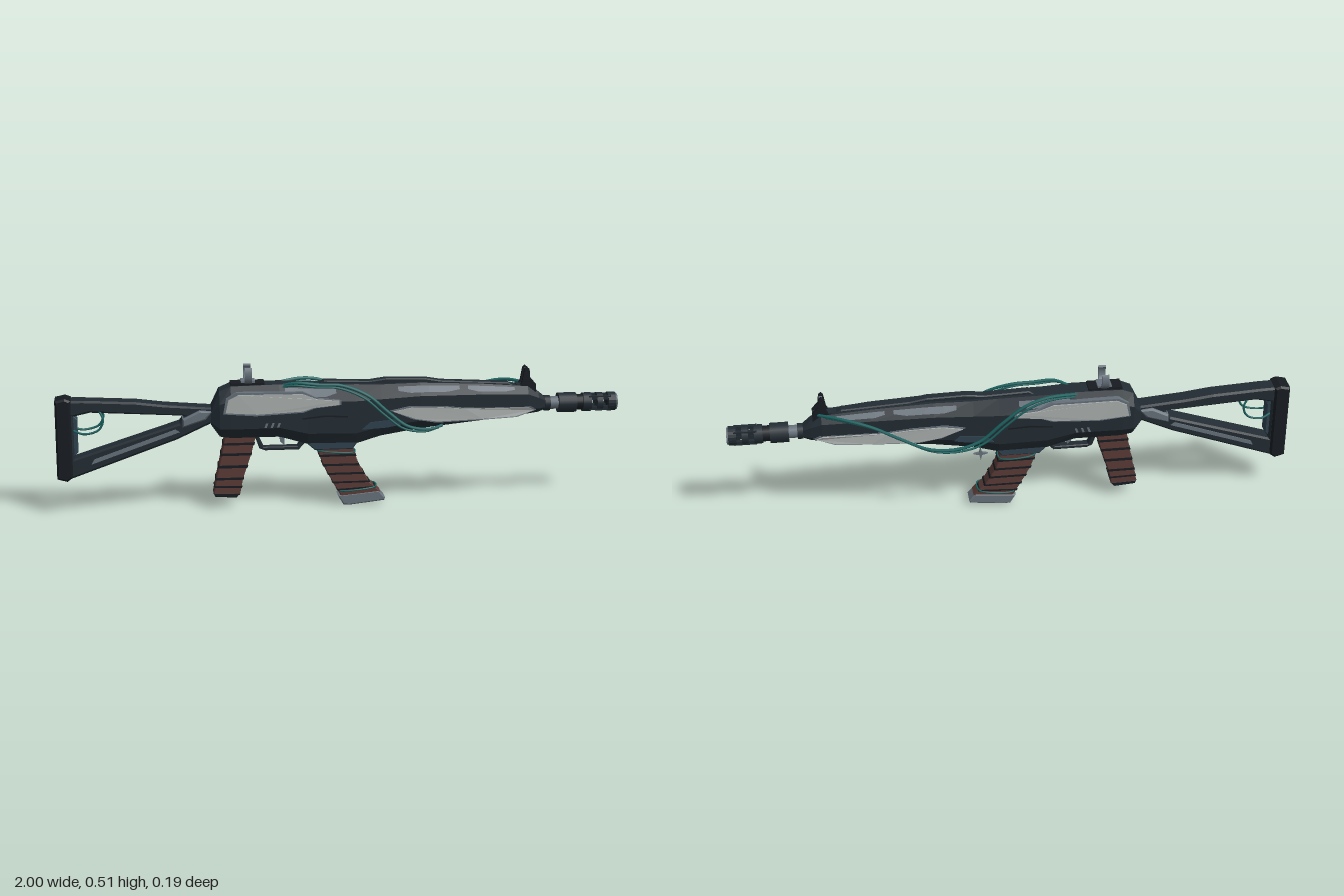
import * as THREE from 'three';

const mat = (name, color) => {
  const m = new THREE.MeshStandardMaterial({ color });
  m.name = name;
  return m;
};

export function createModel() {
  const root = new THREE.Group();
  const model = new THREE.Group();
  model.position.z = 0.011;
  root.add(model);

  const dark = mat('gunmetal', 0x222c33);
  const black = mat('black', 0x171c21);
  const blue = mat('blue steel', 0x2e414e);
  const grey = mat('grey metal', 0x66707a);
  const pale = mat('pale plate', 0xa9aeac);
  const brown = mat('brown wrap', 0x5c3b37);
  const teal = mat('teal cable', 0x1c6462);

  const add = (name, geo, material, x = 0, y = 0, z = 0) => {
    const mesh = new THREE.Mesh(geo, material);
    mesh.name = name;
    mesh.position.set(x, y, z);
    model.add(mesh);
    return mesh;
  };
  const shapeOf = (pts) => new THREE.Shape(pts.map(([x, y]) => new THREE.Vector2(x, y)));

  // side profile extruded across z, with a chamfer kept inside the half width
  const slab = (name, pts, half, material, bevel = 0, hole = null, z = 0) => {
    const shape = shapeOf(pts);
    if (hole) shape.holes.push(shapeOf(hole));
    const geo = new THREE.ExtrudeGeometry(shape, {
      depth: 2 * (half - bevel), bevelEnabled: bevel > 0, bevelThickness: bevel,
      bevelSize: bevel, bevelOffset: -bevel, bevelSegments: 1,
    });
    geo.translate(0, 0, bevel - half);
    return add(name, geo, material, 0, 0, z);
  };

  // flat-faced skin through rings of points
  const loft = (rings, closed = true) => {
    const v = [];
    const tri = (...p) => p.forEach((q) => v.push(...q));
    const n = rings[0].length;
    for (let i = 0; i + 1 < rings.length; i++) {
      for (let j = 0; j < (closed ? n : n - 1); j++) {
        const k = (j + 1) % n;
        const [a, b] = [rings[i], rings[i + 1]];
        tri(a[j], b[j], b[k]);
        tri(a[j], b[k], a[k]);
      }
    }
    if (closed) {
      const last = rings[rings.length - 1];
      for (let j = 1; j + 1 < n; j++) {
        tri(rings[0][0], rings[0][j], rings[0][j + 1]);
        tri(last[0], last[j + 1], last[j]);
      }
    }
    const geo = new THREE.BufferGeometry();
    geo.setAttribute('position', new THREE.Float32BufferAttribute(v, 3));
    geo.computeVertexNormals();
    return geo;
  };

  // body stations: x, bottom, top, half width
  const stations = [
    [-0.46, 0.31, 0.37, 0.045], [-0.43, 0.268, 0.43, 0.06], [-0.39, 0.262, 0.447, 0.063],
    [-0.22, 0.262, 0.45, 0.062], [-0.12, 0.232, 0.445, 0.058], [0.05, 0.228, 0.443, 0.056],
    [0.14, 0.255, 0.44, 0.056], [0.28, 0.278, 0.443, 0.058], [0.5, 0.3, 0.433, 0.052],
    [0.67, 0.318, 0.418, 0.042], [0.71, 0.322, 0.395, 0.032], [0.745, 0.333, 0.367, 0.02],
  ];
  const bodyAt = (x) => {
    let i = 0;
    while (i < stations.length - 2 && x > stations[i + 1][0]) i++;
    const [a, b] = [stations[i], stations[i + 1]];
    const t = (x - a[0]) / (b[0] - a[0]);
    return a.map((n, k) => n + (b[k] - n) * t);
  };
  const ringAt = ([x, lo, hi, w]) => {
    const y = (f) => lo + (hi - lo) * f;
    const half = [[w * 0.6, y(0)], [w, y(0.2)], [w, y(0.74)], [w * 0.55, y(1)]];
    return [...half, ...half.slice().reverse().map(([z, h]) => [-z, h])].map(([z, h]) => [x, h, z]);
  };
  add('body', loft(stations.map(ringAt)), dark);

  // grey strips lying on the upper bevel of the body
  for (const s of [1, -1]) {
    for (const [x0, x1] of [[0.2, 0.42], [0.45, 0.62], [-0.2, -0.02]]) {
      const rings = [0, 0.2, 0.5, 0.8, 1].map((t, i) => {
        const ring = ringAt(bodyAt(x0 + (x1 - x0) * t));
        const end = i === 0 || i === 4 ? 0.45 : 0.25;
        const pts = [end, 0.75].map((f) =>
          ring[2].map((n, k) => n + (ring[3][k] - n) * f + [0, 0.003, 0.003][k]));
        return (s > 0 ? pts : pts.reverse()).map(([x, y, z]) => [x, y, s * z]);
      });
      add('upperStrip', loft(rings, false), grey);
    }
  }
  // raised spine
  slab('topSpine', [[-0.1, 0.43], [-0.06, 0.456], [0.1, 0.45], [0.16, 0.458], [0.3, 0.455],
    [0.36, 0.445], [0.6, 0.432], [0.64, 0.41]], 0.018, dark, 0.004);
  add('rearTopBlock', new THREE.BoxGeometry(0.12, 0.016, 0.06), black, -0.33, 0.448);

  // side armour follows the body width along x
  const plate = (name, pts, material, s, rise) => {
    const depth = 0.02;
    const geo = new THREE.ExtrudeGeometry(shapeOf(pts), { depth, bevelEnabled: false });
    const p = geo.attributes.position;
    for (let i = 0; i < p.count; i++) {
      const w = bodyAt(p.getX(i))[3];
      const outer = p.getZ(i) > depth / 2;
      p.setZ(i, s > 0 ? w + rise - (outer ? 0 : depth) : -w - rise + (outer ? depth : 0));
    }
    geo.computeVertexNormals();
    add(name, geo, material);
  };
  const rearPlate = [[-0.41, 0.36], [-0.4, 0.405], [-0.365, 0.423], [-0.14, 0.42], [-0.09, 0.4],
    [-0.01, 0.392], [-0.01, 0.378], [-0.1, 0.37], [-0.14, 0.358], [-0.3, 0.352]];
  const frontPlate = [[0.18, 0.348], [0.25, 0.361], [0.36, 0.358], [0.44, 0.35], [0.67, 0.345],
    [0.69, 0.335], [0.62, 0.316], [0.5, 0.312], [0.34, 0.308], [0.26, 0.32]];
  const grow = (pts, k) => {
    const cx = pts.reduce((a, q) => a + q[0], 0) / pts.length;
    const cy = pts.reduce((a, q) => a + q[1], 0) / pts.length;
    return pts.map(([x, y]) => [cx + (x - cx) * (1 + (k - 1) * 0.2), cy + (y - cy) * k]);
  };
  for (const s of [1, -1]) {
    plate('rearPlateRim', grow(rearPlate, 1.2), grey, s, 0.004);
    plate('rearPlate', rearPlate, pale, s, 0.009);
    plate('frontPlateRim', grow(frontPlate, 1.2), grey, s, 0.004);
    plate('frontPlate', frontPlate, pale, s, 0.009);
    plate('portCover', [[0.07, 0.285], [0.1, 0.31], [0.19, 0.318], [0.21, 0.3], [0.16, 0.29]], blue, s, 0.005);
    plate('midSeam', [[-0.14, 0.332], [-0.06, 0.34], [0.02, 0.335], [0.02, 0.33], [-0.06, 0.334], [-0.14, 0.327]], black, s, 0.002);
    for (let i = 0; i < 3; i++) {
      const x = -0.275 + i * 0.022;
      plate('vent', [[x, 0.302], [x + 0.006, 0.318], [x + 0.014, 0.318], [x + 0.008, 0.302]], grey, s, 0.003);
    }
  }

  // folding stock frame
  slab('stockFrame', [[-0.985, 0.13], [-0.96, 0.125], [-0.58, 0.26], [-0.46, 0.315], [-0.44, 0.37],
    [-0.62, 0.385], [-0.72, 0.398], [-0.9, 0.408], [-0.985, 0.41]], 0.034, dark, 0.007,
  [[-0.938, 0.2], [-0.57, 0.318], [-0.55, 0.345], [-0.88, 0.365], [-0.938, 0.352]]);
  slab('buttPlate', [[-1, 0.13], [-0.965, 0.12], [-0.945, 0.135], [-0.945, 0.41], [-0.965, 0.418], [-1, 0.41]], 0.043, black, 0.007);
  slab('stockInnerPad', [[-0.945, 0.2], [-0.925, 0.22], [-0.925, 0.34], [-0.945, 0.36]], 0.022, blue, 0.003);
  for (const s of [1, -1]) {
    slab('stockStrutTrim', [[-0.88, 0.18], [-0.57, 0.288], [-0.585, 0.298], [-0.87, 0.198]], 0.004, grey, 0, null, s * 0.033);
  }
  slab('stockHinge', [[-0.56, 0.305], [-0.48, 0.33], [-0.455, 0.36], [-0.5, 0.365], [-0.56, 0.335]], 0.046, grey, 0.006);

  // barrel and slotted muzzle
  const tube = (name, x0, x1, r, material, sides = 16) => {
    const geo = new THREE.CylinderGeometry(r, r, x1 - x0, sides);
    geo.rotateZ(-Math.PI / 2);
    return add(name, geo, material, (x0 + x1) / 2, 0.35, 0);
  };
  tube('barrel', 0.7, 0.8, 0.023, grey);
  tube('barrelCollar', 0.735, 0.755, 0.028, dark);
  tube('muzzleBase', 0.785, 0.85, 0.036, dark);
  tube('muzzleNeck', 0.85, 0.89, 0.028, black);
  tube('muzzleRing', 0.875, 0.905, 0.034, dark);
  tube('muzzleRing', 0.925, 0.947, 0.034, dark);
  const rim = (r0, r1, x0, x1) => new THREE.LatheGeometry(
    [[r0, x0], [r1, x0], [r1, x1], [r0, x1], [r0, x0]].map(([r, y]) => new THREE.Vector2(r, y)), 20)
    .toNonIndexed().rotateZ(-Math.PI / 2);
  const tip = rim(0.016, 0.034, 0.966, 0.994);
  tip.computeVertexNormals();
  add('muzzleTip', tip, dark, 0, 0.35);
  const face = rim(0.016, 0.03, 0.99, 1);
  face.computeVertexNormals();
  add('muzzleFace', face, grey, 0, 0.35);
  tube('bore', 0.966, 0.975, 0.018, black);
  for (let i = 0; i < 4; i++) {
    const a = Math.PI / 4 + i * Math.PI / 2;
    add('muzzleBar', new THREE.BoxGeometry(0.08, 0.014, 0.014), dark,
      0.935, 0.35 + Math.sin(a) * 0.027, Math.cos(a) * 0.027);
  }

  // sights
  for (const s of [1, -1]) {
    slab('frontSightEar', [[0.63, 0.4], [0.65, 0.435], [0.658, 0.48], [0.666, 0.488], [0.675, 0.48],
      [0.678, 0.45], [0.7, 0.425], [0.7, 0.395]], 0.006, black, 0, null, s * 0.017);
  }
  add('frontSightPost', new THREE.BoxGeometry(0.012, 0.08, 0.008), grey, 0.668, 0.442);
  add('frontSightBase', new THREE.BoxGeometry(0.07, 0.03, 0.04), dark, 0.665, 0.41);
  const hornShape = new THREE.Shape();
  hornShape.absarc(0, 0, 0.044, -1.1, 0.62, false);
  hornShape.absarc(0, 0, 0.035, 0.62, -1.1, true);
  for (const s of [0, 1]) {
    const geo = new THREE.ExtrudeGeometry(hornShape, { depth: 0.026, bevelEnabled: false, curveSegments: 12 });
    geo.translate(0, 0, -0.013);
    geo.rotateY(Math.PI / 2 + s * Math.PI);
    add('rearSightHorn', geo, grey, -0.328, 0.487);
  }
  add('rearSightBase', new THREE.BoxGeometry(0.05, 0.025, 0.05), grey, -0.328, 0.45);

  // wrapped grip and magazine: blocks between a rear and a front edge
  const along = (pts, t) => {
    const f = Math.min(t * (pts.length - 1), pts.length - 1.0001);
    const i = Math.floor(f);
    return pts[i].map((n, k) => n + (pts[i + 1][k] - n) * (f - i));
  };
  const wrapped = (name, rear, front, half, count) => {
    for (let i = 0; i < count; i++) {
      const [t0, t1] = [i / count, (i + 1) / count];
      slab(name + 'Wrap', [along(rear, t1), along(front, t1), along(front, t0), along(rear, t0)], half, brown, 0.003);
      const [a, b] = [Math.max(0, t0 - 0.018), t0 + 0.018];
      const q = [along(rear, b), along(front, b), along(front, a), along(rear, a)];
      slab(name + 'Band', q.map(([x, y], k) => [x + (k === 1 || k === 2 ? 0.002 : -0.002), y]), half + 0.002, black);
    }
  };
  wrapped('grip', [[-0.41, 0.275], [-0.425, 0.2], [-0.445, 0.11], [-0.455, 0.055]],
    [[-0.3, 0.275], [-0.32, 0.2], [-0.35, 0.11], [-0.362, 0.05]], 0.03, 6);
  slab('gripCap', [[-0.456, 0.06], [-0.45, 0.046], [-0.375, 0.04], [-0.36, 0.056]], 0.031, black, 0.003);
  wrapped('magazine', [[-0.09, 0.22], [-0.065, 0.15], [-0.03, 0.085], [0.002, 0.03]],
    [[0.04, 0.22], [0.062, 0.15], [0.1, 0.085], [0.142, 0.045]], 0.029, 6);
  slab('magazineFoot', [[-0.012, 0.036], [0.008, 0.002], [0.03, 0], [0.155, 0.014], [0.158, 0.024], [0.135, 0.05]], 0.031, grey, 0.004);
  slab('magazineWell', [[-0.13, 0.24], [-0.095, 0.208], [0.04, 0.208], [0.07, 0.25]], 0.036, blue, 0.004);

  // trigger and guard
  slab('triggerGuard', [[-0.31, 0.27], [-0.29, 0.215], [-0.27, 0.207], [-0.15, 0.207], [-0.12, 0.24], [-0.12, 0.27]],
    0.016, dark, 0.003, [[-0.295, 0.265], [-0.275, 0.22], [-0.155, 0.22], [-0.135, 0.245], [-0.135, 0.265]]);
  slab('trigger', [[-0.22, 0.27], [-0.215, 0.235], [-0.2, 0.222], [-0.2, 0.27]], 0.007, grey);

  // loose cables
  const cable = (name, pts, r, closed = false) => {
    const curve = new THREE.CatmullRomCurve3(pts.map((p) => new THREE.Vector3(...p)), closed);
    return add(name, new THREE.TubeGeometry(curve, 48, r, 6, closed), teal);
  };
  const nearSide = [[-0.22, 0.44, 0.02], [-0.16, 0.456, 0.05], [-0.08, 0.45, 0.058], [0, 0.445, 0.06],
    [0.09, 0.41, 0.075], [0.16, 0.35, 0.078], [0.23, 0.297, 0.076], [0.31, 0.28, 0.06], [0.36, 0.288, 0.04]];
  const farSide = [[0.68, 0.42, -0.02], [0.6, 0.425, -0.07], [0.5, 0.4, -0.094], [0.4, 0.345, -0.097],
    [0.3, 0.293, -0.094], [0.2, 0.278, -0.08], [0.12, 0.3, -0.074], [0.04, 0.37, -0.076],
    [-0.04, 0.43, -0.074], [-0.12, 0.45, -0.06], [-0.24, 0.44, -0.03]];
  const shifted = (pts, dx, dy) => pts.map(([x, y, z]) => [x + dx, y + dy, z]);
  cable('nearCable', nearSide, 0.006);
  cable('nearCableThin', shifted(nearSide, -0.014, -0.008), 0.004);
  cable('farCable', farSide, 0.006);
  cable('farCableThin', shifted(farSide, -0.014, -0.01), 0.004);
  for (const s of [1, -1]) {
    cable('stockLoop', [[-0.94, 0.3, s * 0.02], [-0.9, 0.29, s * 0.035], [-0.85, 0.305, s * 0.036],
      [-0.835, 0.34, s * 0.035], [-0.85, 0.375, s * 0.028]], 0.004);
  }
  const ring = (x, y, w, tilt) => cable('magazineWire', [[x - w, y + tilt, 0.032], [x + w, y - tilt, 0.034],
    [x + w, y - tilt, -0.034], [x - w, y + tilt, -0.032]], 0.003, true);
  ring(-0.018, 0.2, 0.06, 0.004);
  ring(0.058, 0.06, 0.06, -0.006);

  // four-pointed star charm
  const star = Array.from({ length: 8 }, (_, i) => {
    const r = i % 2 ? 0.007 : 0.026;
    return [0.12 + Math.cos(i * Math.PI / 4) * r, 0.25 + Math.sin(i * Math.PI / 4) * r];
  });
  slab('starCharm', star, 0.005, grey, 0, null, -0.072);
  cable('charmCord', [[0.12, 0.27, -0.072], [0.122, 0.285, -0.073], [0.13, 0.3, -0.07]], 0.002);

  return root;
}
